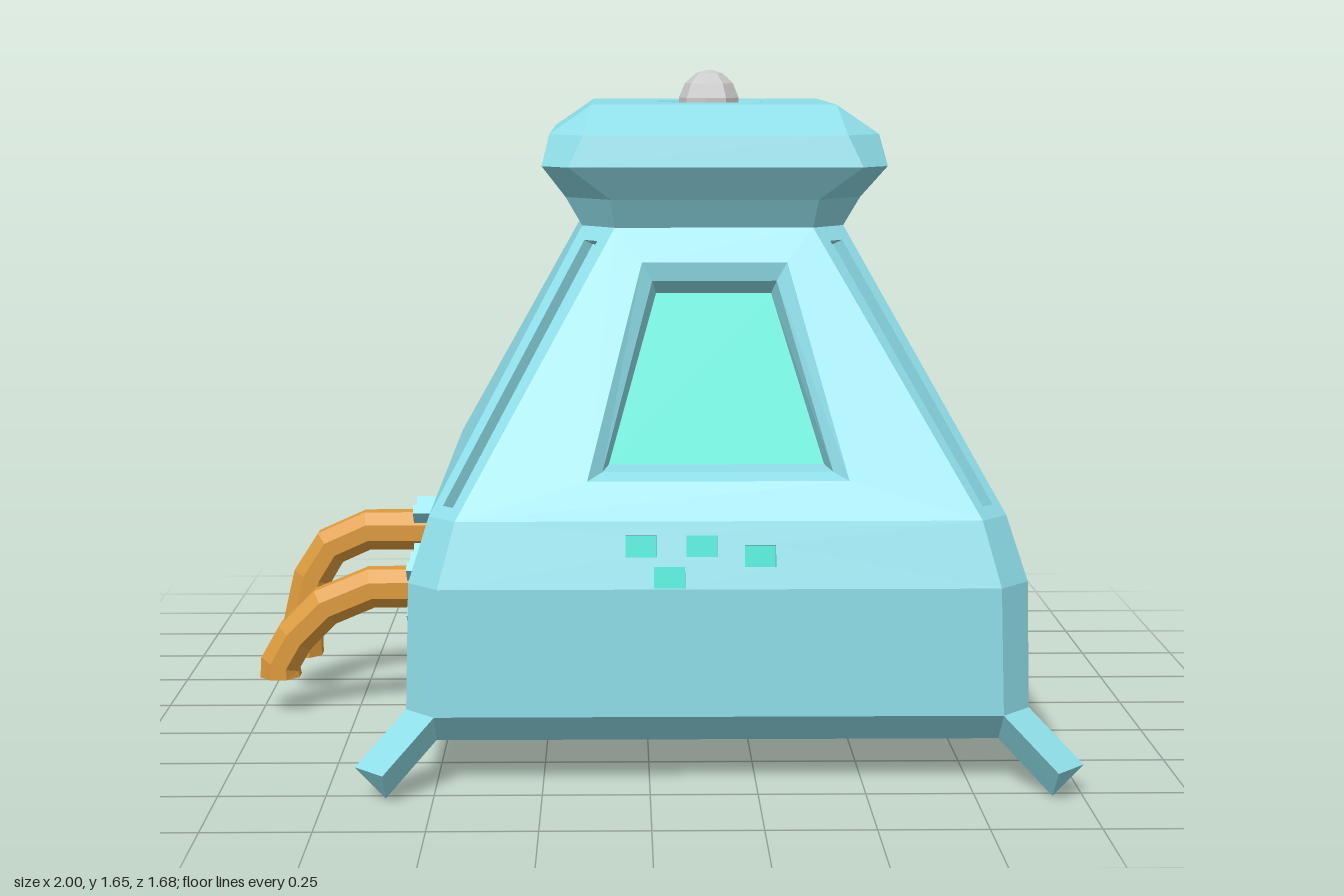
import * as THREE from 'three';

const paint = (color) => new THREE.MeshStandardMaterial({ color, flatShading: true });
const shellBlue = paint(0x8edde8);
const teal = paint(0x0cd9c6);
const orange = paint(0xdc9a3c);
const grey = paint(0xcccccc);

// Skin a series of point loops with flat faces, with optional end caps.
function skin(loops, { start = false, end = false, skip = () => false } = {}) {
  const out = [];
  const tri = (a, b, c) => {
    if (a.distanceTo(b) > 1e-6 && b.distanceTo(c) > 1e-6 && c.distanceTo(a) > 1e-6) {
      for (const p of [a, b, c]) out.push(p.x, p.y, p.z);
    }
  };
  const n = loops[0].length;
  for (let k = 0; k < loops.length - 1; k++) {
    for (let i = 0; i < n; i++) {
      if (skip(k, i)) continue;
      const j = (i + 1) % n, A = loops[k], B = loops[k + 1];
      tri(A[i], A[j], B[j]);
      tri(A[i], B[j], B[i]);
    }
  }
  const first = loops[0], last = loops[loops.length - 1];
  for (let i = 1; i < n - 1; i++) {
    if (end) tri(last[0], last[i], last[i + 1]);
    if (start) tri(first[0], first[i + 1], first[i]);
  }
  const g = new THREE.BufferGeometry();
  g.setAttribute('position', new THREE.Float32BufferAttribute(out, 3));
  g.computeVertexNormals();
  return g;
}

const V = (x, y, z) => new THREE.Vector3(x, y, z);

// Square ring with cut corners: h = half width, i = half length of the straight side
const ring = (y, h, i) => [[-i, h], [i, h], [h, i], [h, -i], [i, -h], [-i, -h], [-h, -i], [-h, i]]
  .map(([x, z]) => V(x, y, z));

export function createModel() {
  const root = new THREE.Group();
  root.name = 'pod';
  const body = new THREE.Group();
  body.name = 'body';
  body.position.x = 0.16;
  root.add(body);

  const add = (parent, name, geometry, material) => {
    const m = new THREE.Mesh(geometry, material);
    m.name = name;
    parent.add(m);
    return m;
  };

  // Hull from base to lid, ending in the octagonal socket on top
  const loops = [
    ring(0.105, 0.66, 0.66), ring(0.18, 0.73, 0.66), ring(0.48, 0.722, 0.65), ring(0.63, 0.675, 0.61),
    ring(1.28, 0.32, 0.24), ring(1.35, 0.36, 0.25), ring(1.43, 0.415, 0.35), ring(1.505, 0.397, 0.315),
    ring(1.575, 0.295, 0.295), ring(1.575, 0.132, 0.055), ring(1.54, 0.11, 0.046),
  ];
  // Left open: front panels and front corner strips, which carry recesses
  const skip = (k, i) => (k === 2 && i === 0) || (k === 3 && [0, 1, 7].includes(i));
  add(body, 'hull', skin(loops, { start: true, end: true, skip }), shellBlue);
  const panel = (k, i) => {
    const j = (i + 1) % 8;
    return [loops[k][i], loops[k][j], loops[k + 1][j], loops[k + 1][i]];
  };

  // Window: beveled frame, deep reveal and glass, parallel to the sloping front
  const slopeZ = (y) => 0.32 + (1.28 - y) * (0.355 / 0.65);
  const trapezoid = (y0, w0, y1, w1, inset) => [[-w0, y0], [w0, y0], [w1, y1], [-w1, y1]]
    .map(([x, y]) => V(x, y, slopeZ(y) - inset));
  const glass = trapezoid(0.735, 0.255, 1.12, 0.14, 0.1);
  add(body, 'windowFrame', skin([
    panel(3, 0),
    trapezoid(0.715, 0.305, 1.2, 0.175, 0),
    trapezoid(0.73, 0.27, 1.155, 0.15, 0.03),
    glass,
  ]), shellBlue);
  add(body, 'windowGlass', skin([glass], { end: true }), teal);

  // Long grooves in the two front corner strips
  for (const i of [1, 7]) {
    const [a, b, c, d] = panel(3, i);
    const at = (u, v) => a.clone().lerp(b, u).lerp(d.clone().lerp(c, u), v);
    const slot = [at(0.3, 0.04), at(0.7, 0.04), at(0.7, 0.95), at(0.3, 0.95)];
    const side = i === 1 ? -1 : 1;
    const floor = slot.map((p) => p.clone().add(V(side * 0.02, -0.012, -0.02)));
    add(body, 'cornerGroove', skin([[a, b, c, d], slot, floor], { end: true }), shellBlue);
  }

  // Lower front panel with four recessed buttons
  const lowZ = (y) => 0.722 - (y - 0.48) * (0.047 / 0.15);
  const sheet = new THREE.Shape(panel(2, 0).map((p) => new THREE.Vector2(p.x, p.y)));
  for (const [x, y] of [[-0.18, 0.575], [-0.04, 0.575], [0.095, 0.553], [-0.115, 0.506]]) {
    const rim = [[-1, -1], [1, -1], [1, 1], [-1, 1]]
      .map(([sx, sy]) => V(x + sx * 0.036, y + sy * 0.024, lowZ(y + sy * 0.024)));
    const floor = rim.map((p) => V(p.x, p.y - 0.006, p.z - 0.025));
    sheet.holes.push(new THREE.Path(rim.map((p) => new THREE.Vector2(p.x, p.y))));
    add(body, 'buttonRecess', skin([rim, floor]), shellBlue);
    add(body, 'button', skin([floor], { end: true }), teal);
  }
  const sheetGeo = new THREE.ShapeGeometry(sheet);
  const pos = sheetGeo.attributes.position;
  for (let i = 0; i < pos.count; i++) pos.setZ(i, lowZ(pos.getY(i)));
  sheetGeo.computeVertexNormals();
  add(body, 'lowerFrontPanel', sheetGeo, shellBlue);

  // Feet: three-sided struts continuing each bottom corner outward and down
  for (let q = 0; q < 4; q++) {
    const near = [V(0.66, 0.18, 0.73), V(0.66, 0.105, 0.66), V(0.73, 0.18, 0.66)];
    const far = near.map((p) => p.clone().add(V(0.11, -0.105, 0.11)));
    add(body, 'foot', skin([near, far], { end: true }), shellBlue).rotation.y = q * Math.PI / 2;
  }

  // Knob sitting in the socket
  const knob = add(body, 'knob', new THREE.SphereGeometry(0.09, 9, 7), grey);
  knob.position.y = 1.565;
  knob.scale.x = 0.88;

  // Two drooping eight-sided hoses, each held by four small claws
  const hose = (z, path) => {
    const pts = path.map(([x, y]) => V(x, y, z));
    const sections = pts.map((p, k) => {
      const dir = pts[Math.min(k + 1, pts.length - 1)].clone().sub(pts[Math.max(k - 1, 0)]).normalize();
      const up = V(dir.y, -dir.x, 0);
      const across = dir.clone().cross(up);
      return Array.from({ length: 8 }, (_, s) => {
        const t = (s + 0.5) * Math.PI / 4;
        return p.clone().addScaledVector(up, Math.cos(t) * 0.055).addScaledVector(across, Math.sin(t) * 0.055);
      });
    });
    add(root, 'hose', skin(sections, { start: true, end: true }), orange);
    for (let s = 0; s < 4; s++) {
      const t = (s + 0.5) * Math.PI / 2;
      const claw = add(root, 'hoseClaw', new THREE.BoxGeometry(0.055, 0.045, 0.028), shellBlue);
      claw.position.set(-0.587, path[0][1] + Math.cos(t) * 0.075, z + Math.sin(t) * 0.075);
      claw.rotation.x = t;
    }
  };
  hose(0.05, [[-0.54, 0.33], [-0.71, 0.33], [-0.83, 0.28], [-0.91, 0.2], [-0.95, 0.13], [-0.95, 0.095]]);
  hose(-0.17, [[-0.54, 0.435], [-0.74, 0.435], [-0.84, 0.39], [-0.89, 0.31], [-0.92, 0.18], [-0.92, 0.095]]);

  return root;
}
